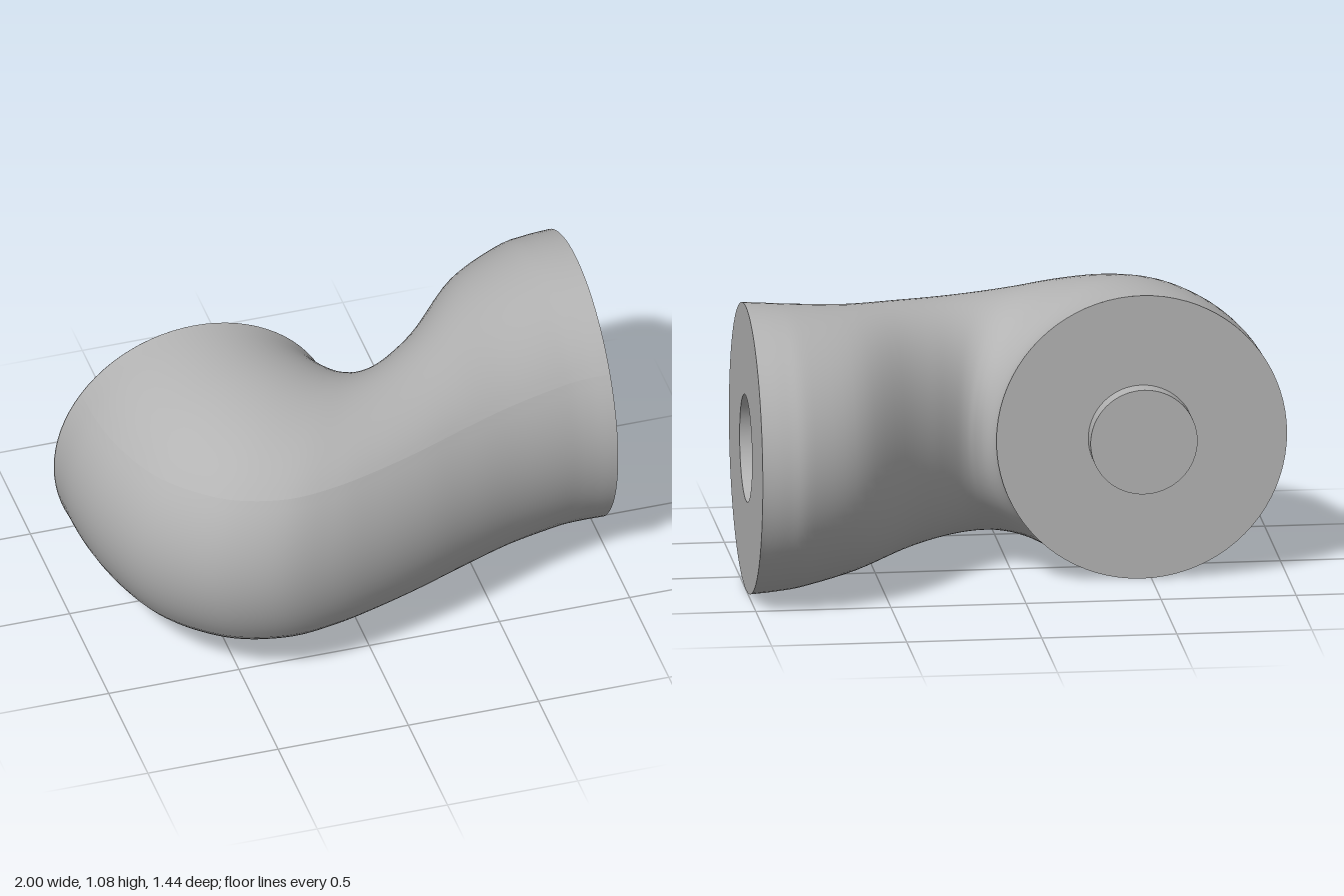
import * as THREE from 'three';

const R = 0.538, CY = 0.54;          // radius and height of both flat joint faces
const EDGE = Math.PI / 5;            // angle of the soft ridge along the outer bend
const EDGE_U = R * Math.cos(EDGE), EDGE_V = R * Math.sin(EDGE);

// Sections along the elbow: outer x, z, inner x, z, half height
const SECTIONS = [
  [-1.0, -0.195, 0.073, -0.195, 0.538],
  [-0.99, 0.0, 0.075, -0.18, 0.536],
  [-0.95, 0.2, 0.085, -0.165, 0.532],
  [-0.87, 0.4, 0.1, -0.153, 0.525],
  [-0.75, 0.55, 0.115, -0.147, 0.51],
  [-0.6, 0.66, 0.13, -0.145, 0.49],
  [-0.4, 0.717, 0.15, -0.146, 0.466],
  [-0.2, 0.703, 0.18, -0.152, 0.447],
  [0.0, 0.655, 0.22, -0.175, 0.44],
  [0.2, 0.59, 0.29, -0.235, 0.444],
  [0.4, 0.51, 0.4, -0.345, 0.46],
  [0.6, 0.433, 0.6, -0.585, 0.488],
  [0.8, 0.375, 0.8, -0.7, 0.518],
  [0.9, 0.357, 0.9, -0.718, 0.53],
  [1.0, 0.354, 1.0, -0.722, 0.538],
];

const outerCurve = new THREE.CatmullRomCurve3(
  SECTIONS.map(s => new THREE.Vector3(s[0], s[4], s[1])), false, 'catmullrom', 0.5);
const innerCurve = new THREE.CatmullRomCurve3(
  SECTIONS.map(s => new THREE.Vector3(s[2], s[4], s[3])), false, 'catmullrom', 0.5);

// Point of a section: a circle stretched to the local width and height
function skinPoint(t, angle) {
  const o = outerCurve.getPoint(t), n = innerCurve.getPoint(t);
  const h = o.y;
  const dx = (o.x - n.x) / 2, dz = (o.z - n.z) / 2;
  const a = Math.hypot(dx, dz);
  const cu = R * Math.cos(angle), cv = R * Math.sin(angle);
  let u, v;
  if (cu < 0) {                                    // inner half
    u = cu * a / R;
    v = cv * h / R;
  } else if (Math.abs(cv) <= EDGE_V + 1e-6) {      // outer band keeps its round profile
    u = a - (R - cu);
    v = cv;
  } else {                                         // shoulder from ridge to crown
    u = cu * (a - R + EDGE_U) / EDGE_U;
    v = Math.sign(cv) * (EDGE_V + (Math.abs(cv) - EDGE_V) * (h - EDGE_V) / (R - EDGE_V));
  }
  return [(o.x + n.x) / 2 + dx * u / a, CY + v, (o.z + n.z) / 2 + dz * u / a];
}

// Loft one strip of the skin between two angles
function loft(from, to, sides) {
  const rows = (SECTIONS.length - 1) * 5;
  const positions = [], index = [];
  for (let i = 0; i <= rows; i++) {
    for (let j = 0; j <= sides; j++) {
      positions.push(...skinPoint(i / rows, from + (to - from) * j / sides));
      if (i === rows || j === sides) continue;
      const a = i * (sides + 1) + j, b = a + sides + 1;
      index.push(a, b, a + 1, b, b + 1, a + 1);
    }
  }
  const g = new THREE.BufferGeometry();
  g.setAttribute('position', new THREE.Float32BufferAttribute(positions, 3));
  g.setIndex(index);
  g.computeVertexNormals();
  return g;
}

export function createModel() {
  const grey = new THREE.MeshStandardMaterial({ color: 0xb3b3b3, side: THREE.DoubleSide });
  grey.name = 'grey';
  const group = new THREE.Group();
  group.name = 'elbowJoint';
  const add = (name, geometry, x, y, z) => {
    const m = new THREE.Mesh(geometry, grey);
    m.name = name;
    m.position.set(x, y, z);
    group.add(m);
  };

  // Curved body, split at the ridges
  add('outerBand', loft(-EDGE, EDGE, 16), 0, 0, 0);
  add('innerBody', loft(EDGE, 2 * Math.PI - EDGE, 64), 0, 0, 0);

  // Flat back face with its round peg
  const px = -0.464, pz = -0.195, depth = 0.075;
  add('pegFace', new THREE.CircleGeometry(R, 80).rotateY(Math.PI), px, CY, pz);
  add('peg', new THREE.CylinderGeometry(0.198, 0.198, depth, 64).rotateX(Math.PI / 2),
    px, CY, pz - depth / 2);

  // Flat side face with the matching round socket
  const sz = -0.184, hole = 0.199;
  add('socketFace', new THREE.RingGeometry(hole, R, 80).rotateY(Math.PI / 2), 1, CY, sz);
  add('socketWall', new THREE.CylinderGeometry(hole, hole, depth, 80, 1, true).rotateZ(Math.PI / 2),
    1 - depth / 2, CY, sz);
  add('socketFloor', new THREE.CircleGeometry(hole, 80).rotateY(Math.PI / 2), 1 - depth, CY, sz);

  return group;
}
